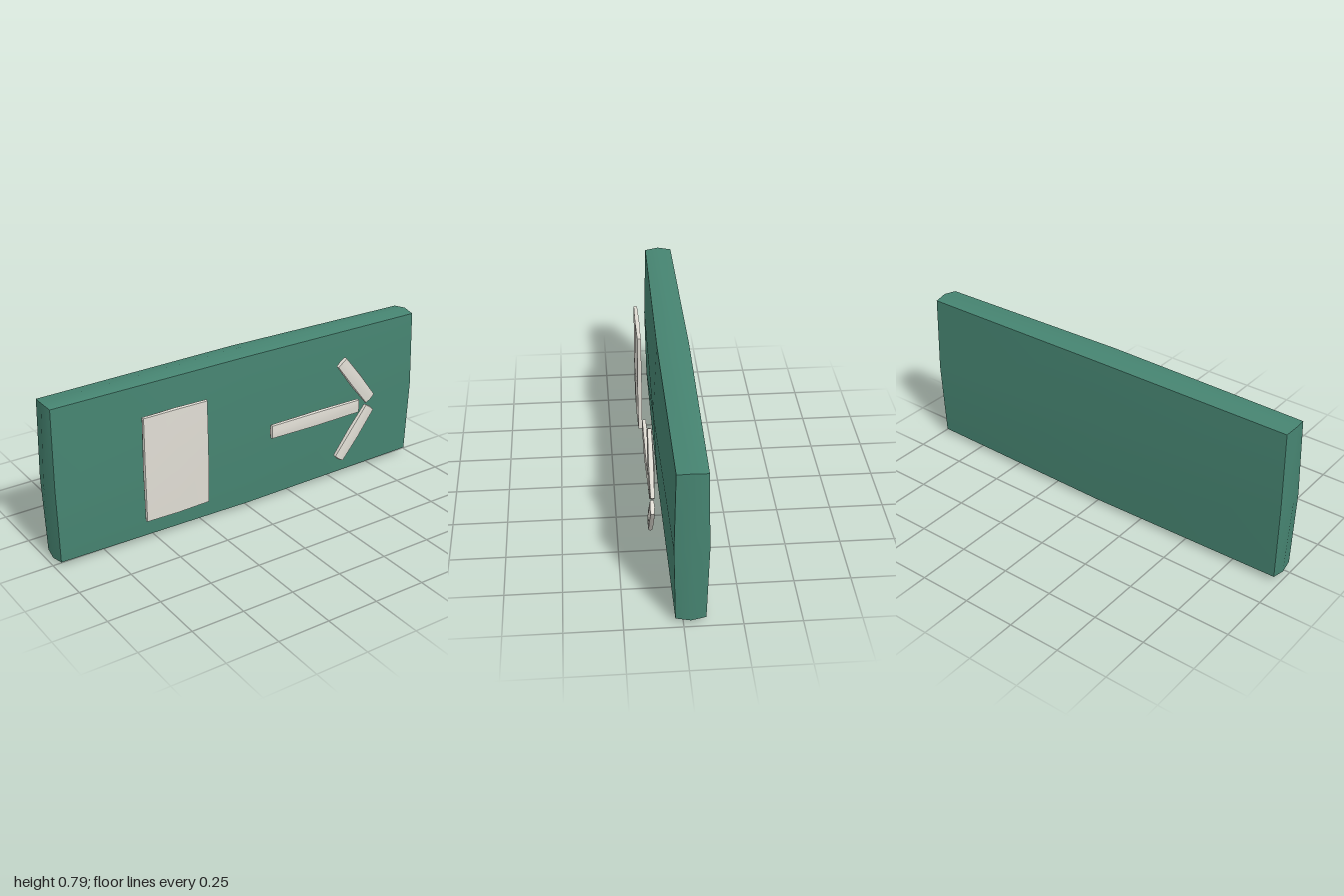
import * as THREE from 'three';

// Box whose faces swell gently: edges and corners are pulled in by a chamfer radius.
function pillowBox(w, h, d, r) {
  const half = [w / 2, h / 2, d / 2];
  const g = new THREE.BoxGeometry(w, h, d, 2, 2, 2);
  const p = g.attributes.position;
  for (let i = 0; i < p.count; i++) {
    const v = [p.getX(i), p.getY(i), p.getZ(i)];
    const outer = v.map((c) => (Math.abs(c) > 1e-6 ? Math.sign(c) : 0));
    const n = outer.filter((s) => s !== 0).length; // 1 face centre, 2 edge, 3 corner
    const inset = r * (1 - 1 / Math.sqrt(n));
    p.setXYZ(i, ...outer.map((s, k) => s * (half[k] - inset)));
  }
  g.computeVertexNormals(); // smooth within a face, sharp between faces
  return g;
}

export function createModel() {
  const group = new THREE.Group();
  const green = new THREE.MeshStandardMaterial({ color: 0x468471 });
  green.name = 'signGreen';
  const offWhite = new THREE.MeshStandardMaterial({ color: 0xe0ddd4 });
  offWhite.name = 'offWhite';

  const add = (name, geometry, material, x, y, z, angle = 0) => {
    const m = new THREE.Mesh(geometry, material);
    m.name = name;
    m.position.set(x, y, z);
    m.rotation.z = angle;
    group.add(m);
  };

  const midY = 0.397, plateZ = 0.107, thick = 0.03, r = 0.016;

  // Sign body
  add('signBoard', pillowBox(2, 0.788, 0.181, 0.061), green, 0, midY, -0.031);

  // Door panel and arrow shaft
  add('doorPanel', pillowBox(0.334, 0.52, thick, r), offWhite, -0.424, midY + 0.001, plateZ);
  add('arrowShaft', pillowBox(0.52, 0.077, thick, r), offWhite, 0.341, midY + 0.001, plateZ);

  // Mirrored arrow head bars
  for (const s of [1, -1]) {
    add(s > 0 ? 'arrowHeadUpper' : 'arrowHeadLower', pillowBox(0.302, 0.071, thick, r),
      offWhite, 0.575, midY + s * 0.138, plateZ, -s * 0.911);
  }
  return group;
}
